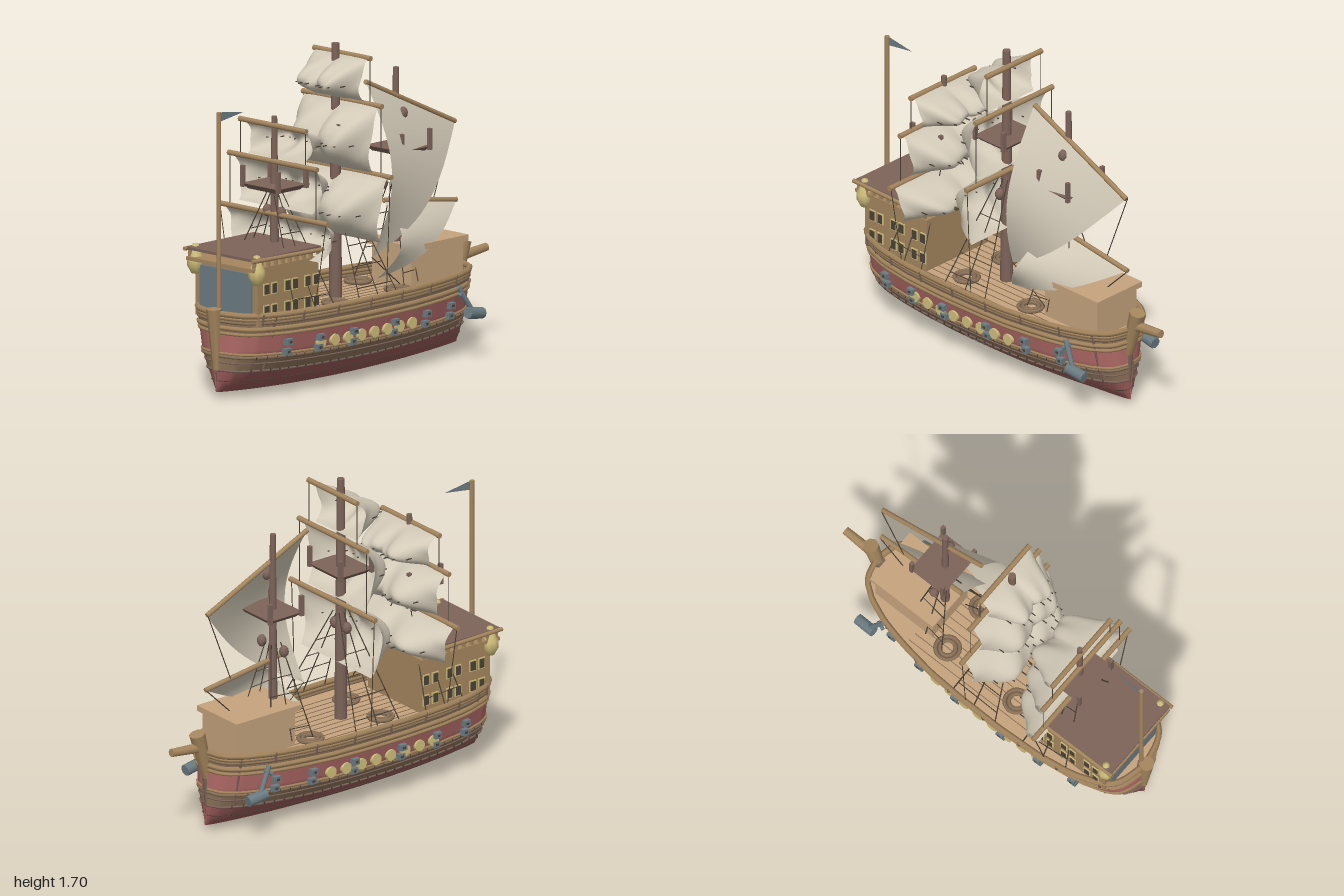
import * as THREE from 'three';
import { ParametricGeometry } from 'three/addons/geometries/ParametricGeometry.js';

const mat = (name, color, side = THREE.FrontSide) => {
  const m = new THREE.MeshStandardMaterial({ color, side });
  m.name = name;
  return m;
};
const V = (x, y, z) => new THREE.Vector3(x, y, z);

export function createModel() {
  const ship = new THREE.Group();
  ship.name = 'sailingShip';
  const canvas = mat('canvas', 0xd2c9b7, THREE.DoubleSide);
  const red = mat('red paint', 0xb26b68, THREE.DoubleSide);
  const deepRed = mat('deep red paint', 0x985957, THREE.DoubleSide);
  const brown = mat('hull brown', 0x8b7158, THREE.DoubleSide);
  const tan = mat('tan wood', 0xc5a37d, THREE.DoubleSide);
  const trim = mat('trim wood', 0xa5865e);
  const dark = mat('dark wood', 0x7d645a);
  const gold = mat('brass', 0xd0bf7c);
  const iron = mat('iron', 0x6c7c83, THREE.DoubleSide);
  const rope = mat('rope', 0x4b4236);

  const add = (name, geo, m, x = 0, y = 0, z = 0) => {
    const mesh = new THREE.Mesh(geo, m);
    mesh.name = name;
    mesh.position.set(x, y, z);
    ship.add(mesh);
    return mesh;
  };
  const box = (name, m, x, y, z, w, h, d) => add(name, new THREE.BoxGeometry(w, h, d), m, x, y, z);
  // Round bar between two points
  const rod = (name, m, a, b, r0, r1 = r0, sides = 8) => {
    const mesh = add(name, new THREE.CylinderGeometry(r1, r0, a.distanceTo(b), sides), m);
    mesh.position.lerpVectors(a, b, 0.5);
    mesh.quaternion.setFromUnitVectors(V(0, 1, 0), b.clone().sub(a).normalize());
    return mesh;
  };
  const line = (a, b, r = 0.003) => rod('rigging', rope, a, b, r, r, 4);
  const pulley = (x, y, z) => add('pulley', new THREE.SphereGeometry(0.025, 8, 6), dark, x, y, z).scale.set(1, 1.3, 1);
  const table = (pts, t) => {
    let i = 1;
    while (i < pts.length - 1 && pts[i][0] < t) i++;
    const [a, b] = [pts[i - 1], pts[i]];
    return a[1] + (b[1] - a[1]) * THREE.MathUtils.clamp((t - a[0]) / (b[0] - a[0]), 0, 1);
  };

  // Hull: half beam along x, times a section factor over height; the keel rises at the ends
  const beam = [[-0.945, 0.02], [-0.93, 0.1], [-0.9, 0.17], [-0.85, 0.215], [-0.7, 0.27], [-0.5, 0.3], [-0.25, 0.312],
    [0, 0.31], [0.2, 0.3], [0.4, 0.27], [0.55, 0.235], [0.67, 0.185], [0.74, 0.135], [0.77, 0.09], [0.785, 0.02]];
  const section = [[0, 0.06], [0.04, 0.32], [0.09, 0.5], [0.13, 0.63], [0.22, 0.83], [0.34, 0.94], [0.44, 1]];
  const rise = (x, y) => 0.035 * ((x + 0.08) / 0.865) ** 2 * (1 - y / 0.44);
  const hull = (x, y, side, out = 0) => V(x, y + rise(x, y), side * (table(beam, x) * table(section, y) + out));
  const stationX = u => -0.08 - 0.865 * Math.cos(Math.PI * u);
  const along = (y, s, out) => Array.from({ length: 31 }, (_, i) => hull(stationX(i / 30), y, s, out));
  const bands = [['bottom', 0, 0.13, deepRed], ['lowerSide', 0.13, 0.215, brown], ['gunBand', 0.215, 0.34, red], ['bulwark', 0.34, 0.44, brown]];
  for (const s of [1, -1]) {
    for (const [name, y0, y1, m] of bands)
      add(name, new ParametricGeometry((u, v, p) => p.copy(hull(stationX(s > 0 ? u : 1 - u), y0 + (y1 - y0) * v, s)), 48, 4), m);
    // Wales, rails and thin plank seams running along the hull
    for (const [y, r, m] of [[0.065, 0.002, rope], [0.125, 0.006, dark], [0.17, 0.004, dark], [0.205, 0.009, brown],
      [0.222, 0.007, trim], [0.335, 0.009, trim], [0.365, 0.013, trim], [0.4, 0.009, brown], [0.42, 0.011, trim], [0.442, 0.016, trim]])
      add('wale', new THREE.TubeGeometry(new THREE.CatmullRomCurve3(along(y, s, 0.004)), 60, r, 5), m);
    // Short nailed blocks under the wales, and rail cleats
    for (let i = 0; i < 28; i++) {
      const x = -0.84 + i * 0.057;
      rod('waleBlock', rope, hull(x, 0.12, s, 0.006), hull(x, 0.135, s, 0.008), 0.004, 0.004, 4);
      rod('waleBlock', rope, hull(x, 0.195, s, 0.008), hull(x, 0.21, s, 0.01), 0.004, 0.004, 4);
      if (i % 4 === 0) rod('cleat', dark, hull(x, 0.39, s, 0.014), hull(x, 0.45, s, 0.014), 0.008, 0.008, 4);
    }
    for (const x of [-0.77, 0.69]) rod('frameRib', dark, hull(x, 0.14, s, 0.004), hull(x, 0.44, s, 0.01), 0.008, 0.008, 6);
    // Brass discs and gun ports
    for (let i = 0; i < 8; i++) {
      const p = hull(-0.465 + i * 0.0935, 0.257, s, 0.008);
      add('brassDisc', new THREE.CylinderGeometry(0.03, 0.03, 0.02, 14), gold, p.x, p.y, p.z).rotation.x = Math.PI / 2;
    }
    for (const x of [-0.685, -0.48, -0.25, 0.05, 0.3, 0.51]) {
      for (const y of [0.287, 0.232]) {
        const p = hull(x, y, s, 0.012);
        box('gunPort', iron, p.x, p.y, p.z, 0.04, 0.032, 0.035);
        box('gunMuzzle', rope, p.x, p.y, p.z + s * 0.018, 0.016, 0.012, 0.004);
      }
    }
    // Anchor
    rod('anchorArm', iron, V(0.56, 0.38, s * 0.235), V(0.64, 0.24, s * 0.262), 0.013);
    rod('anchorWeight', iron, V(0.6, 0.245, s * 0.262), V(0.71, 0.228, s * 0.255), 0.03);
    rod('anchorStock', iron, V(0.55, 0.335, s * 0.25), V(0.59, 0.36, s * 0.235), 0.01);
    // Coiled ropes on deck
    for (const x of [-0.23, 0.22])
      for (const r of [0.062, 0.04])
        add('ropeCoil', new THREE.TorusGeometry(r, 0.011, 6, 20), brown, x, 0.41, s * 0.14).rotation.x = Math.PI / 2;
  }

  // Deck with plank seams
  const outline = [...along(0.39, 1, 0), ...along(0.39, -1, 0).reverse()].map(p => new THREE.Vector2(p.x, p.z));
  add('deck', new THREE.ShapeGeometry(new THREE.Shape(outline)), tan, 0, 0.395, 0).rotation.x = -Math.PI / 2;
  for (let i = -5; i <= 5; i++) box('deckSeam', brown, -0.1, 0.396, i * 0.045, 1.0, 0.003, 0.004);

  // Stem, stern post and bowsprit
  rod('stem', dark, V(0.77, 0.04, 0), V(0.775, 0.42, 0), 0.006, 0.03);
  rod('stemPost', trim, V(0.768, 0.3, 0), V(0.835, 0.545, 0), 0.03, 0.042);
  rod('sternKeel', dark, V(-0.93, 0.04, 0), V(-0.935, 0.42, 0), 0.006, 0.03);
  rod('sternPost', trim, V(-0.94, 0.15, 0), V(-0.96, 0.465, 0), 0.02, 0.04);
  rod('bowsprit', trim, V(0.8, 0.465, 0), V(1.0, 0.485, 0), 0.028, 0.022);

  // Forecastle
  box('forecastle', tan, 0.505, 0.49, 0, 0.37, 0.2, 0.28);
  box('forecastleRoof', tan, 0.505, 0.602, 0, 0.41, 0.03, 0.32);

  // Stern cabin with paired windows, eaves and lanterns
  box('cabin', trim, -0.65, 0.535, 0, 0.435, 0.29, 0.44);
  box('cabinTrim', trim, -0.67, 0.685, 0, 0.5, 0.018, 0.47);
  box('cabinRoof', dark, -0.675, 0.738, 0, 0.49, 0.014, 0.47);
  box('sternPanel', iron, -0.873, 0.53, 0, 0.012, 0.25, 0.36);
  for (const s of [1, -1]) {
    for (const x of [-0.81, -0.755, -0.66, -0.605, -0.515, -0.455])
      for (const y of [0.575, 0.465]) {
        box('windowFrame', gold, x, y, s * 0.221, 0.042, 0.06, 0.008);
        box('windowPane', rope, x, y, s * 0.225, 0.03, 0.048, 0.008);
      }
    rod('eaveRail', trim, V(-0.93, 0.735, s * 0.238), V(-0.42, 0.725, s * 0.238), 0.011);
    for (let i = 0; i < 10; i++) box('eavePost', trim, -0.9 + i * 0.051, 0.71, s * 0.225, 0.016, 0.05, 0.016);
    const lantern = [[0, -0.06], [0.022, -0.055], [0.043, -0.015], [0.043, 0.02], [0.028, 0.05], [0.016, 0.095], [0, 0.1]];
    add('lantern', new THREE.LatheGeometry(lantern.map(p => new THREE.Vector2(...p)), 8), gold, -0.872, 0.66, s * 0.215);
  }

  // Flag
  rod('flagPole', trim, V(-0.925, 0.42, 0), V(-0.925, 1.47, 0), 0.012);
  const pennant = new THREE.Shape([[-0.92, 1.47], [-0.92, 1.42], [-0.75, 1.445]].map(p => new THREE.Vector2(...p)));
  add('flag', new THREE.ShapeGeometry(pennant), iron);

  // Masts with crow's nests and shrouds: x, foot, top, radius, nest height, nest centre, shroud top, spread, inset
  for (const [x, y0, y1, r, ny, nx, sy, spread, inset] of [
    [-0.085, 0.39, 1.7, 0.034, 1.21, -0.085, 0.98, 0.14, 0],
    [-0.525, 0.68, 1.39, 0.024, 1.03, -0.525, 1.0, 0.13, 0],
    [0.35, 0.39, 1.51, 0.026, 1.09, 0.365, 0.92, 0.12, -0.12]]) {
    rod('mast', dark, V(x, y0, 0), V(x, y1, 0), r, r * 0.6, 10);
    const nest = add('crowsNest', new THREE.CylinderGeometry(0.155, 0.12, 0.028, 4, 1, false, Math.PI / 4), dark, nx, ny, 0);
    nest.scale.set(0.98, 1, 1.18);
    for (const a of [-1, 1]) {
      for (const b of [-1, 1]) box('nestPost', dark, nx + a * 0.1, ny + 0.05, b * 0.125, 0.02, 0.11, 0.02);
      pulley(x, 0.9, a * (inset ? 0.09 : 0.05));
      // Shroud ladder
      const foot = i => hull(x + spread * i, 0.43, a, inset), head = i => V(x + 0.03 * i, sy, a * 0.025);
      for (const i of [-1, 0, 1]) line(foot(i), head(i), 0.0035);
      for (const t of [0.12, 0.3, 0.48, 0.66]) line(foot(-1).lerp(head(-1), t), foot(1).lerp(head(1), t), 0.0025);
    }
  }
  pulley(0.355, 1.28, 0.045);

  // Square sails: yards, two-lobed billowing cloth and ropes between the yard ends
  const lobes = new THREE.CatmullRomCurve3([V(0, 0.055, 0), V(0.25, 0.18, 0), V(0.55, 0.215, 0), V(1, 0.165, 0)]);
  const squareRig = (x, dir, rows) => rows.forEach(([top, bottom, half], i) => {
    rod('yard', trim, V(x, top, -half), V(x, top, half), 0.014);
    const depth = k => lobes.getPoint(1 - Math.abs(k)).y;
    add('squareSail', new ParametricGeometry((u, v, p) => {
      const k = 2 * u - 1, w = Math.sin(Math.PI * v);
      const fold = 0.012 * w * Math.sin(u * 21 + v * 7);
      p.set(x + dir * (w ** 0.8 * depth(k) + 0.02 * v + fold), top - (top - bottom) * v - 0.012 * (1 - k * k) * w,
        k * half * (0.92 - 0.1 * v + 0.05 * w));
    }, 24, 14), canvas);
    const next = rows[i + 1];
    for (const s of [1, -1]) {
      line(V(x, top, s * half * 0.97), next ? V(x, next[0], s * half * 0.97) : hull(x, 0.43, s));
      for (let j = 1; j < 5; j++) // reef points
        box('reefPoint', rope, x + dir * (depth(j / 5) + 0.012), (top + bottom) / 2 - 0.02, s * half * 0.92 * j / 5, 0.035, 0.005, 0.005);
    }
  });
  squareRig(-0.035, -1, [[1.64, 1.42, 0.2], [1.405, 1.06, 0.28], [1.05, 0.71, 0.347]]);
  squareRig(-0.535, 1, [[1.345, 1.17, 0.235], [1.16, 0.92, 0.312], [0.89, 0.68, 0.385]]);

  // Triangular fore sails: yard from a to b, loose corner c
  const lateen = (a, b, c, bulge, sag) => {
    add('triangularSail', new ParametricGeometry((u, v, p) => {
      p.lerpVectors(a, b, u).lerp(c, v);
      const w = Math.sin(Math.PI * v);
      p.z += bulge * w * (1 - 0.35 * u);
      p.y += sag * w * u * u;
      p.x += 0.025 * w * (1 - u) * (1 - u);
    }, 16, 16), canvas);
    rod('slantedYard', trim, a, b, 0.013);
  };
  lateen(V(0.12, 1.47, 0.01), V(0.765, 1.17, 0.01), V(0.065, 0.59, 0.11), 0.14, -0.07);
  lateen(V(0.25, 0.84, 0.01), V(0.775, 0.765, 0.01), V(0.08, 0.48, 0.13), 0.13, -0.04);
  line(V(0.765, 1.17, 0), V(0.62, 0.79, 0));
  line(V(0.775, 0.765, 0), V(0.62, 0.61, 0));
  line(V(0.065, 0.59, 0.11), V(0.3, 0.4, 0.1));
  return ship;
}
